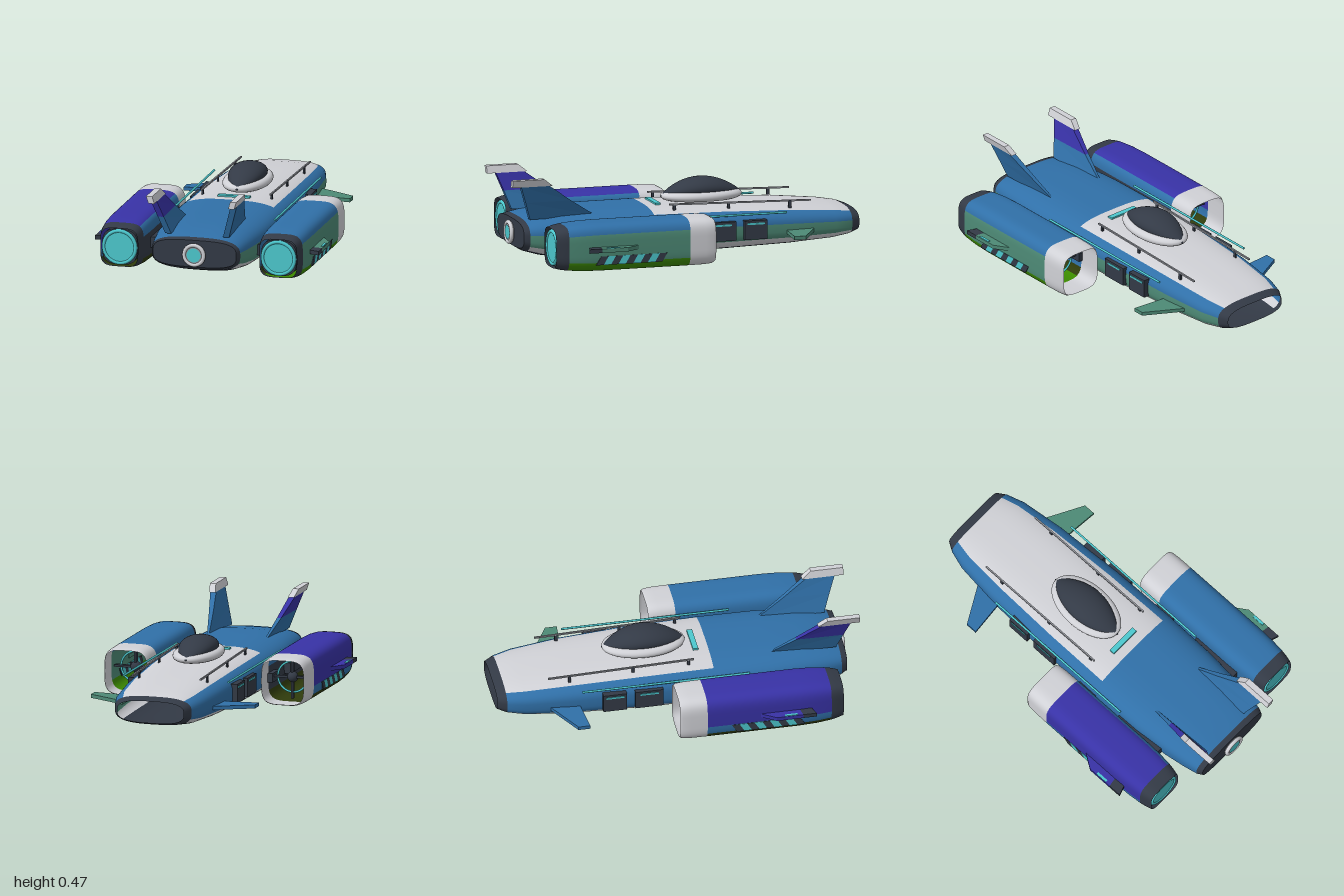
import * as THREE from 'three';

const mat = (name, color) => {
  const m = new THREE.MeshStandardMaterial({ color, side: THREE.DoubleSide });
  m.name = name;
  return m;
};
const M = {
  blue: mat('blue', 0x3070a8), indigo: mat('indigo', 0x3832a6), teal: mat('teal', 0x4d8a76),
  green: mat('green', 0x3c8a00), olive: mat('olive', 0x303c0c), dark: mat('charcoal', 0x333a46),
  white: mat('off white', 0xd0d1d6), cyan: mat('cyan', 0x4cc8ce), grey: mat('grey', 0x90939a),
};
const N = 72; // points in each hull ring, 5 degrees apart

// Superellipse ring, counter-clockwise seen from +z
function ring(w, bottom, top, n, cx = 0) {
  const cy = (top + bottom) / 2, h = (top - bottom) / 2;
  const f = (v) => Math.sign(v) * Math.abs(v) ** (2 / n);
  return Array.from({ length: N }, (_, j) => {
    const a = (j / N) * Math.PI * 2;
    return new THREE.Vector2(cx + w * f(Math.cos(a)), cy + h * f(Math.sin(a)));
  });
}

// Smooth open tube through sections [z, halfWidth, bottom, top]; paint(z, degrees) picks the colour
function loft(name, sections, n, cx, paint) {
  const pos = [], faces = new Map();
  sections.forEach(([z, w, b, t]) => ring(w, b, t, n, cx).forEach((p) => pos.push(p.x, p.y, z)));
  for (let i = 0; i < sections.length - 1; i++) {
    const z = (sections[i][0] + sections[i + 1][0]) / 2;
    for (let j = 0; j < N; j++) {
      let deg = ((j + 0.5) / N) * 360;
      if (deg > 270) deg -= 360; // range -90..270
      const m = paint(z, deg);
      if (!faces.has(m)) faces.set(m, []);
      const a = i * N + j, b = i * N + (j + 1) % N;
      faces.get(m).push(a, b, b + N, a, b + N, a + N);
    }
  }
  const g = new THREE.BufferGeometry(), index = [], mats = [];
  for (const [m, list] of faces) {
    g.addGroup(index.length, list.length, mats.length);
    index.push(...list);
    mats.push(m);
  }
  g.setAttribute('position', new THREE.Float32BufferAttribute(pos, 3));
  g.setIndex(index);
  g.computeVertexNormals();
  const mesh = new THREE.Mesh(g, mats);
  mesh.name = name;
  return mesh;
}

export function createModel() {
  const model = new THREE.Group();
  model.name = 'spacecraft';
  const add = (name, geo, m, x = 0, y = 0, z = 0) => {
    const mesh = new THREE.Mesh(geo, m);
    mesh.name = name;
    mesh.position.set(x, y, z);
    model.add(mesh);
    return mesh;
  };
  const box = (name, m, w, h, d, x, y, z) => add(name, new THREE.BoxGeometry(w, h, d), m, x, y, z);
  const shape = (pts) => new THREE.Shape(pts.map(([x, y]) => new THREE.Vector2(x, y)));
  const extrude = (pts, depth) => new THREE.ExtrudeGeometry(shape(pts), { depth, bevelEnabled: false });
  // Flat plate outlined in x and z, with its top at y
  const plate = (name, m, pts, y, t) => add(name, extrude(pts, t).rotateX(Math.PI / 2), m, 0, y);
  // Upright plate outlined in z and y, centred on x
  const upright = (pts, t) => extrude(pts, t).translate(0, 0, -t / 2).rotateY(-Math.PI / 2);

  // Fuselage, open at the nose
  const end = [0.932, 0.235, 0.08, 0.23];
  model.add(loft('fuselage', [
    [-1, 0.19, 0.068, 0.187], [-0.95, 0.22, 0.05, 0.205], [-0.85, 0.25, 0.036, 0.221],
    [-0.6, 0.278, 0.022, 0.244], [-0.2, 0.298, 0.013, 0.263], [0.19, 0.303, 0.01, 0.27],
    [0.5, 0.298, 0.011, 0.27], [0.7, 0.281, 0.018, 0.266], [0.82, 0.264, 0.036, 0.254],
    [0.9, 0.25, 0.06, 0.24], end,
  ], 3, 0, (z, d) => {
    if (z < -0.95 || z > 0.9) return M.dark;
    if (d < -45 || d > 225) return M.dark;
    if (d < -20 || d > 200) return M.white;
    if (z < 0.19 && d > 45 && d < 135) return M.white;
    return d < 5 ? M.teal : M.blue;
  }));
  add('rearCap', new THREE.ShapeGeometry(new THREE.Shape(ring(end[1], end[2], end[3], 3.4))), M.dark, 0, 0, end[0]);

  // Central exhaust
  const tube = (r, len) => new THREE.CylinderGeometry(r, r * 1.04, len, 40).rotateX(Math.PI / 2);
  add('exhaustHousing', tube(0.058, 0.03), M.grey, 0, 0.15, 0.935);
  add('exhaustRing', new THREE.TorusGeometry(0.055, 0.011, 12, 40), M.white, 0, 0.15, 0.945);
  add('exhaustGlow', new THREE.CircleGeometry(0.039, 40), M.cyan, 0, 0.15, 0.953);

  // Pointed canopy glass on an oval collar
  const profile = Array.from({ length: 25 }, (_, i) => {
    const t = i / 12 - 1;
    return new THREE.Vector2(Math.max(0, 1 - t * t) ** 0.85, t);
  });
  const glass = new THREE.LatheGeometry(profile, 40).rotateX(Math.PI / 2).scale(0.1, 0.06, 0.235);
  const gp = glass.attributes.position;
  for (let i = 0; i < gp.count; i++) {
    const t = gp.getZ(i) / 0.235;
    gp.setY(i, gp.getY(i) + 0.04 * (1 - t * t));
  }
  glass.computeVertexNormals();
  add('canopyGlass', glass, M.dark, 0, 0.295, -0.155);
  add('canopyCollar', new THREE.TorusGeometry(0.1, 0.03, 16, 56).rotateX(Math.PI / 2).scale(1, 0.85, 1.77),
    M.white, 0, 0.296, -0.155);
  box('deckLight', M.cyan, 0.18, 0.012, 0.03, 0, 0.272, 0.12);

  for (const s of [1, -1]) {
    const left = s > 0, cx = s * 0.449, cy = 0.138;

    // Deck rails and side pipes
    const rail = box('deckRail', M.grey, 0.009, 0.009, 0.81, s * 0.195, 0.276, -0.315);
    rail.rotation.x = -0.025;
    for (const z of [-0.6, -0.25, 0.06]) box('railPost', M.dark, 0.009, 0.05, 0.015, s * 0.195, 0.261 + z * 0.025, z);
    add('sidePipe', new THREE.CylinderGeometry(0.006, 0.006, 0.93, 12).rotateX(Math.PI / 2), M.cyan, s * 0.3, 0.226, -0.085);

    // Side equipment boxes and engine pylons
    for (const z of [-0.18, -0.37]) {
      box('sideBox', M.dark, 0.05, 0.105, z < -0.3 ? 0.13 : 0.155, s * 0.288, 0.14, z);
      box('sideBoxLight', M.cyan, 0.006, 0.01, 0.1, s * 0.314, 0.175, z);
    }
    box('pylon', M.dark, 0.09, 0.06, 0.3, s * 0.31, 0.13, 0.52);
    box('frontPylon', M.dark, 0.07, 0.05, 0.12, s * 0.31, 0.13, 0.14);

    // Nose wings
    plate('noseWing', left ? M.teal : M.blue,
      [[s * 0.25, -0.725], [s * 0.47, -0.605], [s * 0.47, -0.54], [s * 0.25, -0.56]], 0.122, 0.02);

    // Tail fins leaning outward, thin at the leading edge
    const fin = (name, m, pts) => {
      const g = upright(pts, 0.034), p = g.attributes.position;
      for (let i = 0; i < p.count; i++) {
        const thin = THREE.MathUtils.clamp((p.getZ(i) - 0.48) / 0.25, 0.3, 1);
        p.setX(i, p.getX(i) * thin + s * (0.168 + (p.getY(i) - 0.26) * 0.32));
      }
      g.computeVertexNormals();
      add(name, g, m);
    };
    fin('tailFin', M.blue, [[0.5, 0.245], [0.88, 0.245], [0.915, 0.345], [0.655, 0.345]]);
    fin('tailFinUpper', left ? M.blue : M.indigo, [[0.655, 0.345], [0.915, 0.345], [0.95, 0.44], [0.79, 0.44]]);
    fin('tailFinTip', M.white, [[0.77, 0.438], [1, 0.438], [1, 0.478], [0.82, 0.478]]);

    // Engine nacelle, open at both ends
    const paint = (z, d) => {
      if (z < 0.09) return M.white;
      if (z > 0.78) return M.dark;
      if (left) return d > 20 && d < 200 ? M.blue : d > -20 && d < 20 ? M.teal : d > 200 && d < 235 ? M.olive : M.green;
      if (d > 50 && d < 185) return M.indigo;
      if (d >= 185 && d < 205) return M.blue;
      return d > 10 && d < 50 ? M.blue : d > -20 && d < 10 ? M.dark : M.olive;
    };
    model.add(loft('engineNacelle', [[-0.06, 0.12], [-0.045, 0.127], [0, 0.13], [0.09, 0.131], [0.6, 0.131],
      [0.7, 0.128], [0.78, 0.121], [0.815, 0.115], [0.85, 0.106]].map(([z, r]) => [z, r, cy - r * 1.01, cy + r * 1.01]), 4, cx, paint));

    // Nozzle with glowing disc
    const rim = new THREE.Shape(ring(0.1, cy - 0.1, cy + 0.1, 3, cx));
    rim.holes.push(new THREE.Path().absarc(cx, cy, 0.08, 0, Math.PI * 2, true));
    add('nozzleRim', new THREE.ExtrudeGeometry(rim, { depth: 0.06, bevelEnabled: false }), M.dark, 0, 0, 0.775);
    add('nozzleRing', new THREE.TorusGeometry(0.09, 0.01, 12, 48), M.cyan, cx, cy, 0.838);
    add('nozzleGlow', new THREE.CircleGeometry(0.086, 48), M.cyan, cx, cy, 0.842);

    // Intake vanes
    add('intakeHub', new THREE.SphereGeometry(0.03, 24, 16), M.dark, cx, cy, 0.12);
    add('intakeRing', new THREE.TorusGeometry(0.085, 0.006, 10, 40), M.cyan, cx, cy, 0.12);
    box('intakeVane', M.dark, 0.24, 0.012, 0.03, cx, cy, 0.12);
    box('intakeVane', M.dark, 0.012, 0.24, 0.03, cx, cy, 0.12);

    // Slanted warning stripes on the outer side
    for (let i = 0; i < 9; i++) {
      const z = 0.63 - i * 0.042;
      const pts = [[z, 0.05], [z - 0.042, 0.05], [z - 0.07, 0.097], [z - 0.028, 0.097]];
      add('warningStripe', upright(pts, 0.009), i % 2 ? M.cyan : M.dark, s * 0.5775);
    }

    // Outer winglet with a dark trailing part and a light
    plate('winglet', left ? M.teal : M.indigo,
      [[s * 0.57, 0.37], [s * 0.632, 0.465], [s * 0.632, 0.61], [s * 0.57, 0.6]], 0.149, 0.022);
    plate('wingletTrailingPart', M.dark,
      [[s * 0.57, 0.6], [s * 0.632, 0.61], [s * 0.632, 0.685], [s * 0.57, 0.665]], 0.149, 0.022);
    box('wingletLight', M.cyan, 0.014, 0.006, 0.07, s * 0.623, 0.15, 0.545);
  }
  return model;
}
